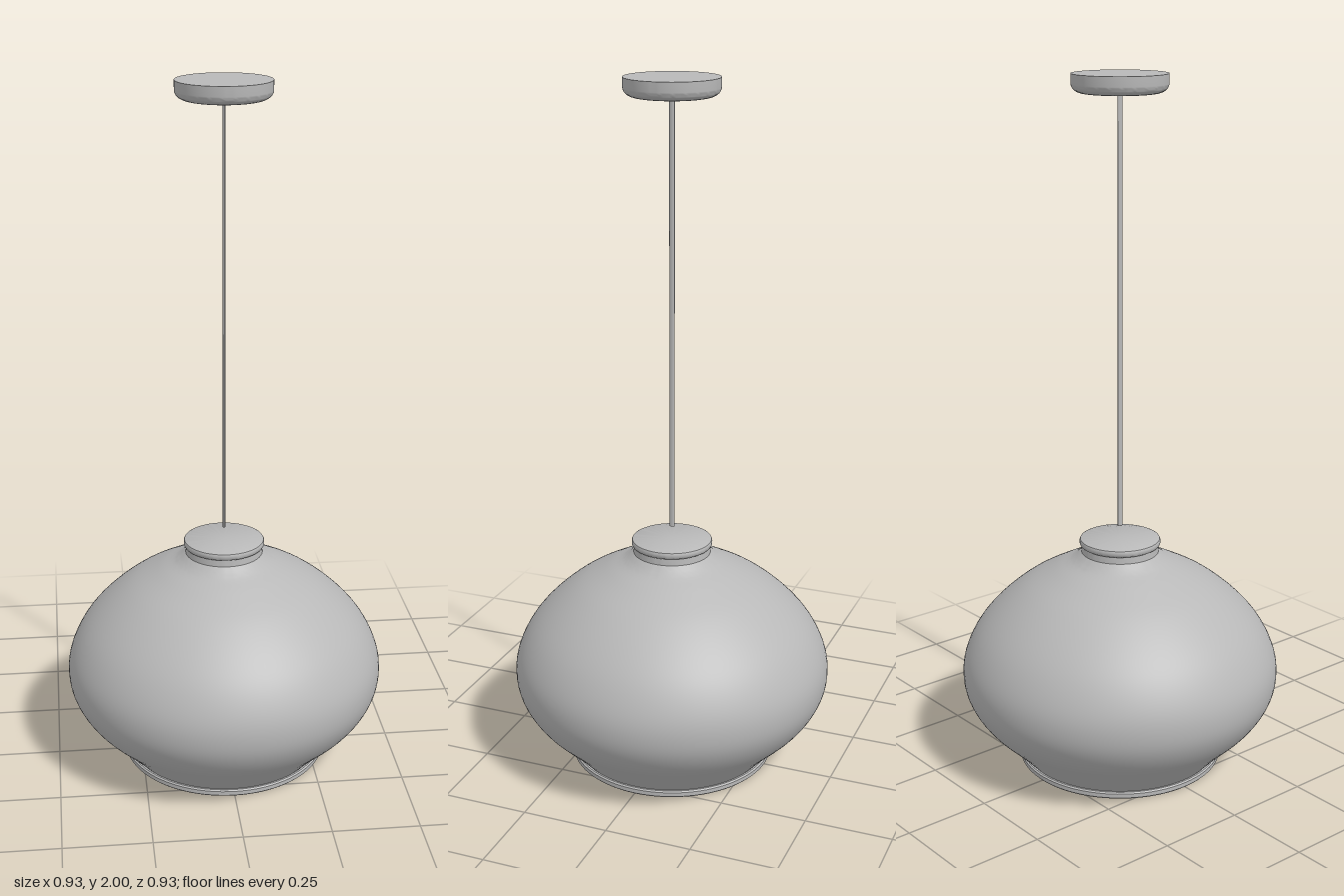
import * as THREE from 'three';
import { toCreasedNormals } from 'three/addons/utils/BufferGeometryUtils.js';

const SEGMENTS = 96;
const vec = (x, y) => new THREE.Vector2(x, y);

// Revolves a profile, keeping its corners sharp
function revolve(name, points, material) {
  const geometry = toCreasedNormals(new THREE.LatheGeometry(points, SEGMENTS), 0.6);
  const mesh = new THREE.Mesh(geometry, material);
  mesh.name = name;
  return mesh;
}

export function createModel() {
  const grey = new THREE.MeshStandardMaterial({ color: 0xb8b8b8 });
  grey.name = 'neutral grey';

  const group = new THREE.Group();
  group.name = 'pendantLamp';

  // Shade: bulbous curve from the lower rim to the neck, with a thin wall
  const belly = new THREE.SplineCurve([
    vec(0.288, 0.02), vec(0.335, 0.07), vec(0.41, 0.145), vec(0.451, 0.212),
    vec(0.463, 0.277), vec(0.452, 0.342), vec(0.415, 0.415), vec(0.357, 0.482),
    vec(0.28, 0.545), vec(0.195, 0.593), vec(0.142, 0.619), vec(0.112, 0.643),
  ]).getPoints(60);
  const inside = belly.map((p) => vec(p.x - 0.012, p.y)).reverse();
  group.add(revolve('shade', [
    vec(0, 0.66), vec(0.1, 0.66),
    ...inside,
    vec(0.276, 0), vec(0.293, 0), vec(0.297, 0.004), vec(0.297, 0.016), vec(0.293, 0.02),
    ...belly,
    vec(0.11, 0.664),
  ], grey));

  // Closed neck cap with a rounded lip
  group.add(revolve('neckCap', [
    vec(0, 0.662), vec(0.11, 0.662), vec(0.115, 0.665), vec(0.117, 0.669),
    vec(0.117, 0.678), vec(0.115, 0.682), vec(0.111, 0.684), vec(0, 0.684),
  ], grey));

  // Flat cord, ending just above the cap
  const cord = new THREE.Mesh(new THREE.CylinderGeometry(1, 1, 1.24, 24), grey);
  cord.scale.set(0.004, 1, 0.008);
  cord.position.y = 1.34;
  cord.name = 'cord';
  group.add(cord);

  // Ceiling canopy with a rounded lower edge
  const canopy = [vec(0, 1.948), vec(0.1, 1.948)];
  for (let i = 1; i <= 10; i++) {
    const a = (i / 10) * Math.PI / 2;
    canopy.push(vec(0.1 + 0.032 * Math.sin(a), 1.973 - 0.025 * Math.cos(a)));
  }
  canopy.push(vec(0.132, 2), vec(0, 2));
  group.add(revolve('ceilingCanopy', canopy, grey));

  return group;
}
